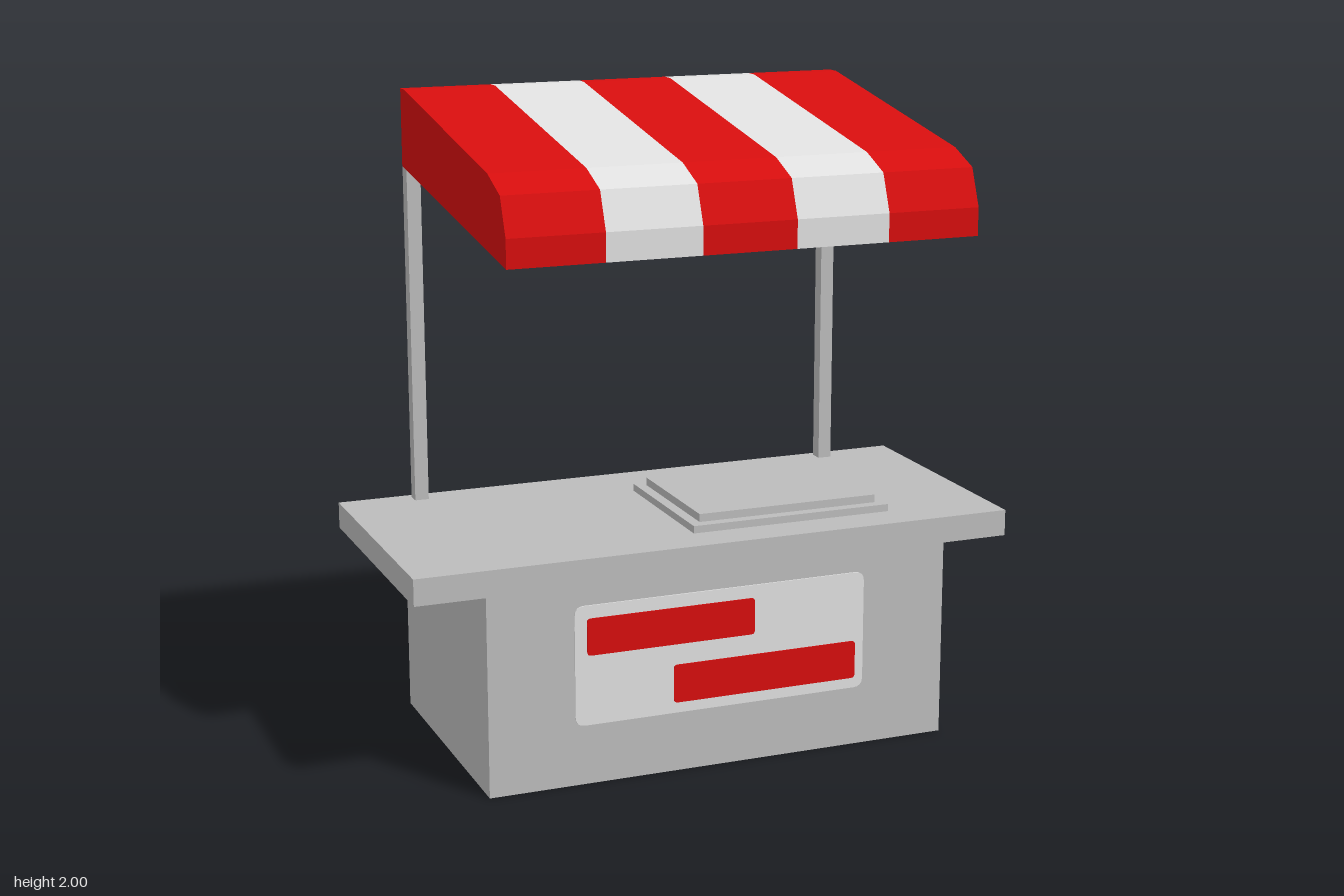
import * as THREE from 'three';

const flat = (name, color) => {
  const m = new THREE.MeshStandardMaterial({ color });
  m.name = name;
  return m;
};

export function createModel() {
  const grey = flat('metalGrey', 0xbcbcbc);
  const white = flat('paleGrey', 0xe0e0e0);
  const red = flat('red', 0xd60e0e);
  const darkRed = flat('shadeRed', 0x920808);

  const model = new THREE.Group();
  model.name = 'marketStall';

  const add = (name, geometry, material) => {
    const mesh = new THREE.Mesh(geometry, material);
    mesh.name = name;
    model.add(mesh);
    return mesh;
  };

  // Box given by its limits on each axis
  const box = (name, [x0, x1], [y0, y1], [z0, z1], material) => {
    const g = new THREE.BoxGeometry(x1 - x0, y1 - y0, z1 - z0);
    g.translate((x0 + x1) / 2, (y0 + y1) / 2, (z0 + z1) / 2);
    return add(name, g, material);
  };

  // Thin plate with rounded corners, lying against a front face
  const plate = (name, [x0, x1], [y0, y1], r, z, depth, material) => {
    const s = new THREE.Shape();
    s.moveTo(x0 + r, y0);
    s.lineTo(x1 - r, y0);
    s.quadraticCurveTo(x1, y0, x1, y0 + r);
    s.lineTo(x1, y1 - r);
    s.quadraticCurveTo(x1, y1, x1 - r, y1);
    s.lineTo(x0 + r, y1);
    s.quadraticCurveTo(x0, y1, x0, y1 - r);
    s.lineTo(x0, y0 + r);
    s.quadraticCurveTo(x0, y0, x0 + r, y0);
    const g = new THREE.ExtrudeGeometry(s, { depth, bevelEnabled: false, curveSegments: 4 });
    g.translate(0, 0, z);
    return add(name, g, material);
  };

  // Cart body and counter
  const front = 0.332, back = -0.525;
  box('body', [-0.742, 0.742], [0, 0.62], [back, front], grey);
  box('counter', [-0.957, 0.957], [0.62, 0.702], [back, front], grey);

  // Stepped hatch on the counter
  box('hatchBase', [-0.043, 0.61], [0.702, 0.725], [-0.308, 0.207], grey);
  box('hatchLid', [-0.01, 0.58], [0.725, 0.75], [-0.277, 0.172], grey);

  // Front sign with two bars
  plate('signPanel', [-0.473, 0.468], [0.187, 0.56], 0.03, front, 0.004, white);
  plate('signBarUpper', [-0.435, 0.103], [0.405, 0.52], 0.012, front + 0.004, 0.003, red);
  plate('signBarLower', [-0.16, 0.44], [0.22, 0.34], 0.012, front + 0.004, 0.003, red);

  // Rear posts
  for (const side of [-1, 1]) {
    const x = side * 0.703;
    box(side > 0 ? 'postLeft' : 'postRight', [x - 0.022, x + 0.022], [0.702, 1.765], [-0.503, -0.459], grey);
  }

  // Canopy profile as [z, y], from the front lip over the top to the back
  const profile = [
    [0.525, 1.615], [0.525, 1.7], [0.48, 1.812], [0.37, 1.857],
    [-0.46, 2], [-0.505, 2], [-0.505, 1.76],
  ];
  const half = 0.725, stripes = 5, width = (2 * half) / stripes;

  // Flat-shaded sheet following profile points between two x positions
  const sheet = (points, x0, x1) => {
    const pos = [];
    for (let i = 0; i < points.length - 1; i++) {
      const [za, ya] = points[i], [zb, yb] = points[i + 1];
      pos.push(x0, ya, za, x1, ya, za, x1, yb, zb, x0, ya, za, x1, yb, zb, x0, yb, zb);
    }
    const g = new THREE.BufferGeometry();
    g.setAttribute('position', new THREE.Float32BufferAttribute(pos, 3));
    g.computeVertexNormals();
    return g;
  };

  for (let i = 0; i < stripes; i++) {
    const x = -half + i * width;
    add('canopyStripe' + (i + 1), sheet(profile, x, x + width), i % 2 ? white : red);
  }
  add('canopyUnderside', sheet([profile[6], profile[0]], -half, half), darkRed);

  // Canopy side walls
  for (const side of [-1, 1]) {
    const s = new THREE.Shape(profile.map(([z, y]) => new THREE.Vector2(-side * z, y)));
    const g = new THREE.ShapeGeometry(s);
    g.rotateY((side * Math.PI) / 2);
    g.translate(side * half, 0, 0);
    add(side > 0 ? 'canopyEndLeft' : 'canopyEndRight', g, red);
  }

  return model;
}
